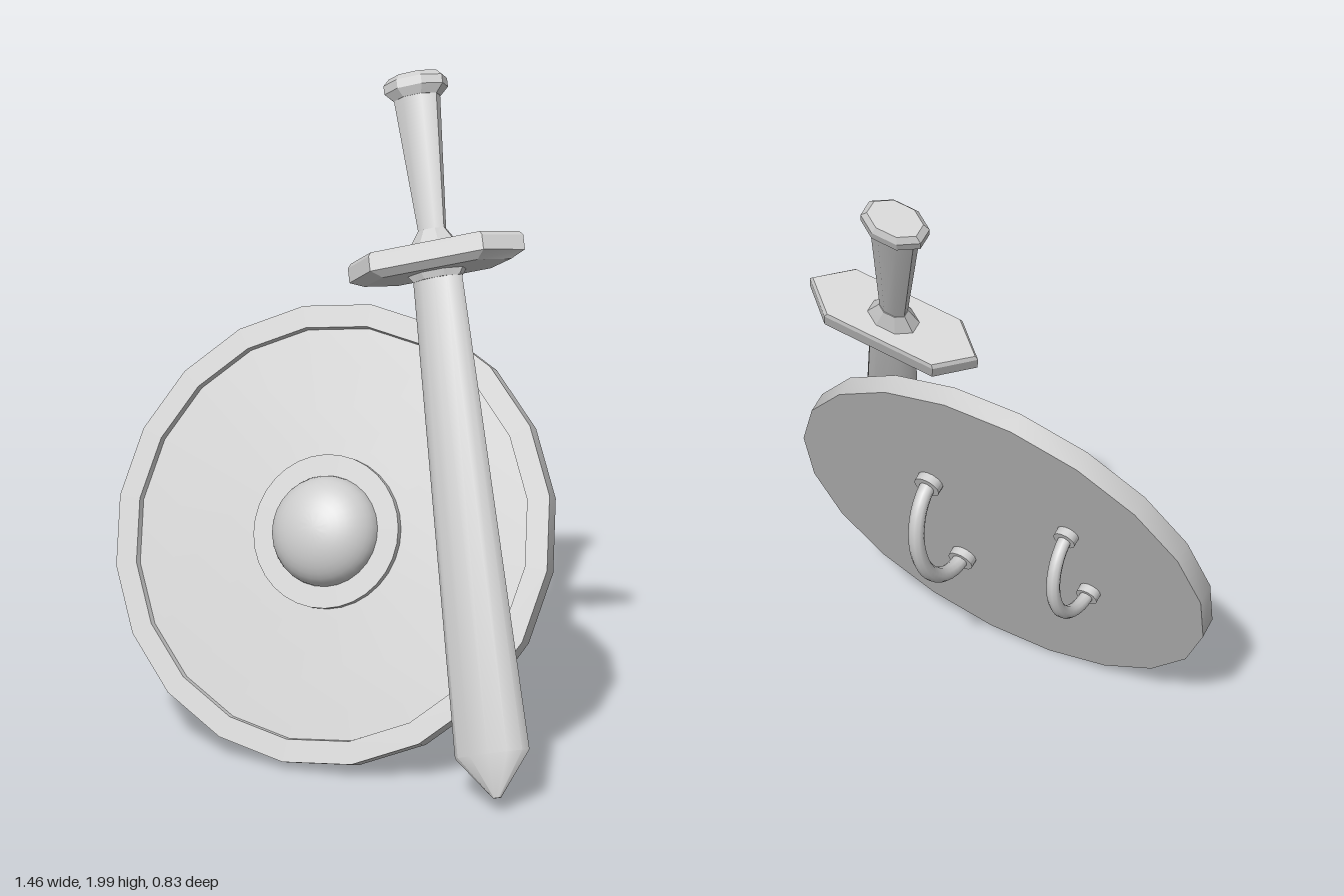
import * as THREE from 'three';
import { toCreasedNormals } from 'three/addons/utils/BufferGeometryUtils.js';

const grey = new THREE.MeshStandardMaterial({ color: 0xcccccc });
grey.name = 'plain grey';

const V = (x, y, z) => new THREE.Vector3(x, y, z);

function part(name, geometry, crease = 0.55) {
  const mesh = new THREE.Mesh(toCreasedNormals(geometry, crease), grey);
  mesh.name = name;
  return mesh;
}

// Turned part whose axis points along +z
function turned(name, profile, segments, crease) {
  const points = profile.map(([r, h]) => new THREE.Vector2(r, h));
  return part(name, new THREE.LatheGeometry(points, segments).rotateX(Math.PI / 2), crease);
}

// Closed loft along y; sections run from top to bottom as [y, half width, half depth]
function loft(name, sections, outline, crease) {
  const geo = new THREE.CylinderGeometry(1, 1, 1, outline.length, sections.length - 1);
  const pos = geo.attributes.position;
  const n = outline.length;
  for (let i = 0; i < pos.count; i++) {
    const [y, w, d] = sections[Math.round((0.5 - pos.getY(i)) * (sections.length - 1))];
    const x = pos.getX(i), z = pos.getZ(i);
    if (Math.hypot(x, z) < 0.01) {
      pos.setXYZ(i, 0, y, 0);
      continue;
    }
    const k = Math.round(Math.atan2(x, z) / (2 * Math.PI) * n + n) % n;
    pos.setXYZ(i, outline[k][0] * w, y, outline[k][1] * d);
  }
  return part(name, geo, crease);
}

const oval = (n, turn = 0) => Array.from({ length: n }, (_, i) => {
  const a = (i + turn) / n * Math.PI * 2;
  return [Math.sin(a), Math.cos(a)];
});

// Arched grip on the back of the shield with a round foot at each end
function handle(name, x, half, height, radius) {
  const group = new THREE.Group();
  group.name = name;
  const back = -0.065;
  const path = [];
  for (let i = 0; i <= 12; i++) {
    const a = i / 12 * Math.PI;
    path.push(V(x, half * Math.cos(a), back - height * Math.sin(a)));
  }
  const curve = new THREE.CatmullRomCurve3(path);
  group.add(part('handleArch', new THREE.TubeGeometry(curve, 24, radius, 10), 1));
  for (const side of [1, -1]) {
    const foot = part('handleFoot', new THREE.CylinderGeometry(radius * 1.7, radius * 1.7, 0.03, 14).rotateX(Math.PI / 2));
    foot.position.set(x, side * half, back - 0.012);
    group.add(foot);
  }
  return group;
}

function buildShield() {
  const shield = new THREE.Group();
  shield.name = 'shield';
  // Disc with a raised rim around a shallow face
  shield.add(turned('shieldDisc', [
    [0, -0.065], [0.693, -0.065], [0.693, 0], [0.625, 0], [0.622, -0.022], [0, -0.004],
  ], 20));
  // Raised plate and central dome
  shield.add(turned('bossPlate', [[0.23, -0.02], [0.23, 0.015], [0, 0.015]], 32));
  const boss = new THREE.SphereGeometry(0.166, 28, 10, 0, Math.PI * 2, 0, Math.PI / 2);
  boss.rotateX(Math.PI / 2).scale(1, 1, 0.65).translate(0, 0, 0.012);
  shield.add(part('boss', boss, 1));
  shield.add(handle('longHandle', 0.19, 0.21, 0.17, 0.025));
  shield.add(handle('shortHandle', -0.28, 0.16, 0.155, 0.021));
  return shield;
}

function buildSword() {
  const sword = new THREE.Group();
  sword.name = 'sword';
  const L = 2.154;
  // Blade widens towards a short point at y = 0
  sword.add(loft('blade', [
    [1.58, 0.075, 0.032], [0.125, 0.112, 0.042], [0, 0.012, 0.008],
  ], oval(12), 0.7));
  // Long six-cornered guard
  const corners = [[0.64, 1], [1, 0], [0.64, -1], [-0.64, -1], [-1, 0], [-0.64, 1]];
  sword.add(loft('guard', [
    [1.622, 0.265, 0.085], [1.61, 0.275, 0.09], [1.565, 0.275, 0.09], [1.545, 0.23, 0.065],
  ], corners, 0.3));
  // Collars above and below the guard
  sword.add(loft('upperCollar', [[1.675, 0.045, 0.03], [1.615, 0.085, 0.055]], oval(8, 0.5), 0.3));
  sword.add(loft('lowerCollar', [[1.555, 0.1, 0.05], [1.525, 0.078, 0.036]], oval(8, 0.5), 0.3));
  // Grip flares up to the pommel
  sword.add(loft('grip', [[L - 0.05, 0.074, 0.05], [1.65, 0.042, 0.026]], oval(8, 0.5), 0.9));
  sword.add(loft('pommel', [
    [L, 0.082, 0.054], [L - 0.018, 0.1, 0.066], [L - 0.045, 0.1, 0.066], [L - 0.07, 0.074, 0.05],
  ], oval(8, 0.5), 0.3));
  return sword;
}

// Place a group with its local x, y, z along the given directions
function place(group, origin, x, y, z) {
  group.quaternion.setFromRotationMatrix(new THREE.Matrix4().makeBasis(x, y, z));
  group.position.copy(origin);
  return group;
}

export function createModel() {
  const model = new THREE.Group();
  model.name = 'swordAndShield';

  // The shield leans back; the sword lies across its face
  const normal = V(0.11, 0.39, 0.914).normalize();
  const up = normal.clone().cross(V(1, 0, 0)).normalize();
  const across = up.clone().cross(normal);
  model.add(place(buildShield(), V(-0.028, 0.675, 0.137), across, up, normal));

  const along = V(-0.665, 1.91, -0.74).normalize();
  const width = along.clone().cross(normal).normalize();
  const facing = width.clone().cross(along);
  model.add(place(buildSword(), V(0.665, 0.06, 0.385), width, along, facing));
  return model;
}
